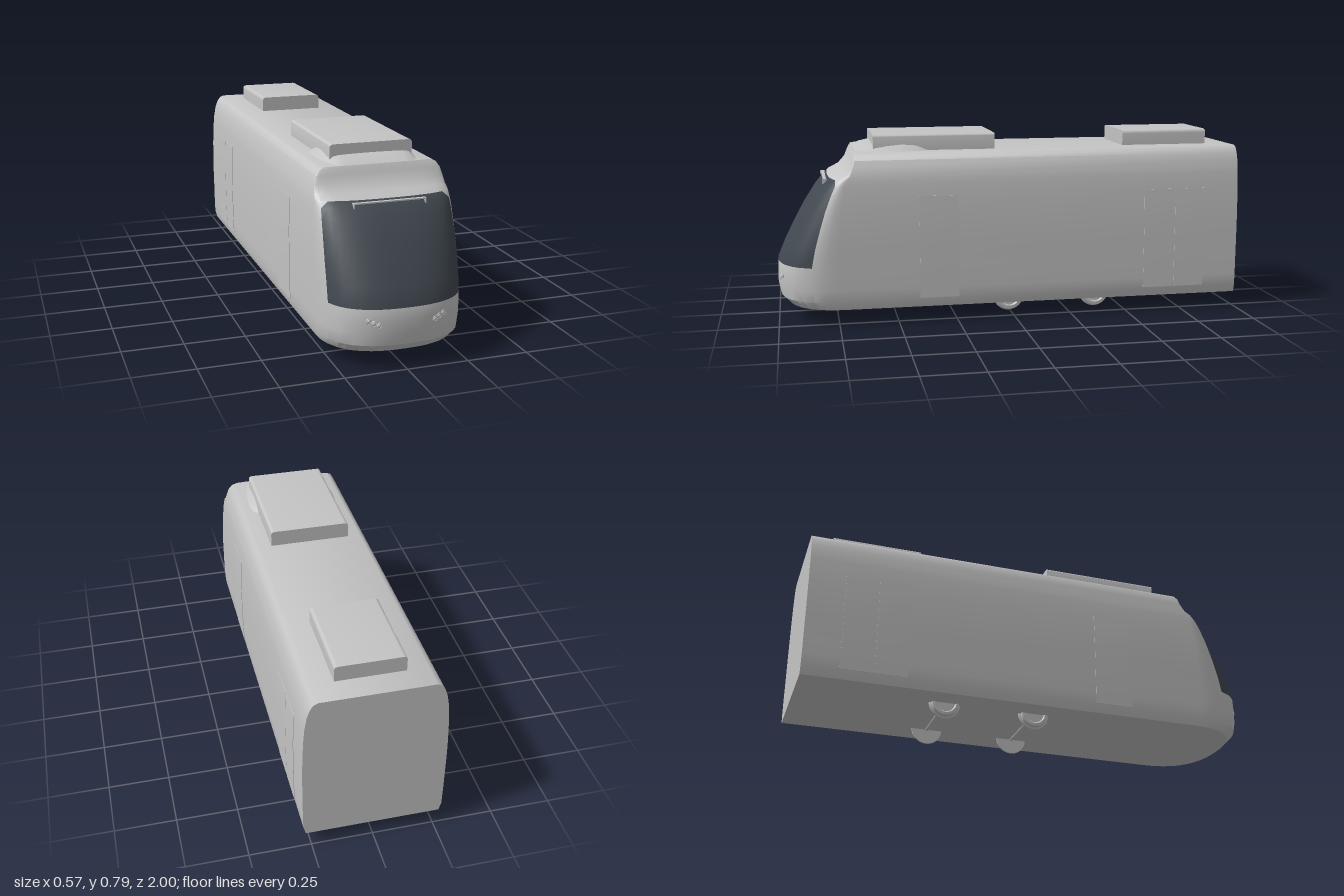
import * as THREE from 'three';
import { toCreasedNormals } from 'three/addons/utils/BufferGeometryUtils.js';

// Horizontal body sections: height, half width, nose z, depth of the nose curve
const ROWS = [
  [0.065, 0.272, 0.955, 0.25], [0.1, 0.282, 0.99, 0.25], [0.15, 0.283, 1, 0.25],
  [0.2, 0.284, 1, 0.25], [0.247, 0.284, 0.998, 0.25], [0.32, 0.285, 0.967, 0.22],
  [0.4, 0.285, 0.926, 0.185], [0.48, 0.283, 0.882, 0.15], [0.55, 0.28, 0.836, 0.115],
  [0.585, 0.277, 0.806, 0.09], [0.61, 0.275, 0.78, 0.075], [0.628, 0.272, 0.735, 0.045],
  [0.66, 0.266, 0.7, 0.02], [0.69, 0.256, 0.685, 0.01], [0.71, 0.243, 0.676, 0.01],
  [0.72, 0.225, 0.67, 0.01],
];
const GLASS_BOTTOM = 4, GLASS_TOP = 10, GLASS_EDGE = 0.945;
const HALF = [1, 0.995, 0.98, GLASS_EDGE, 0.85, 0.78, 0.7, 0.58, 0.45, 0.3, 0.15];
const COLS = [...HALF, 0, ...HALF.map((s) => -s).reverse()];

// Section values at any height
function rowAt(y) {
  let i = 0;
  while (i < ROWS.length - 2 && ROWS[i + 1][0] < y) i++;
  const t = (y - ROWS[i][0]) / (ROWS[i + 1][0] - ROWS[i][0]);
  return ROWS[i].map((v, k) => v + (ROWS[i + 1][k] - v) * t);
}

// Point on the rounded nose; s runs from -1 to 1 across the width
function nosePoint([y, w, zf, d], s) {
  return [w * s, y, zf - d + d * Math.pow(Math.max(0, 1 - Math.pow(Math.abs(s), 2.5)), 0.4)];
}

function quad(out, p, q, r, s) {
  out.push(...p, ...q, ...r, ...p, ...r, ...s);
}

function geometryFrom(points, crease) {
  const geo = new THREE.BufferGeometry();
  geo.setAttribute('position', new THREE.Float32BufferAttribute(points, 3));
  return toCreasedNormals(geo, crease);
}

function shellGeometry() {
  const body = [], glass = [];
  const grid = ROWS.map((r) => [
    [r[1], r[0], -1], ...COLS.map((s) => nosePoint(r, s)), [-r[1], r[0], -1],
  ]);
  const n = grid[0].length - 1, top = ROWS.length - 1;
  const edge = 1 + HALF.indexOf(GLASS_EDGE);
  for (let i = 0; i < top; i++) {
    for (let j = 0; j < n; j++) {
      const a = grid[i][j], b = grid[i][j + 1], c = grid[i + 1][j + 1], d = grid[i + 1][j];
      const isGlass = i >= GLASS_BOTTOM && i < GLASS_TOP && j >= edge && j < n - edge;
      // Cut the upper corners of the windscreen diagonally
      if (isGlass && i === GLASS_TOP - 1 && j === edge) {
        glass.push(...b, ...a, ...c);
        body.push(...a, ...d, ...c);
      } else if (isGlass && i === GLASS_TOP - 1 && j === n - edge - 1) {
        glass.push(...b, ...a, ...d);
        body.push(...b, ...d, ...c);
      } else quad(isGlass ? glass : body, b, a, d, c);
    }
    // Flat rear wall
    quad(body, grid[i][0], grid[i][n], grid[i + 1][n], grid[i + 1][0]);
  }
  // Roof and floor
  for (let j = 0; j < (n - 1) / 2; j++) {
    const t = grid[top], f = grid[0];
    quad(body, t[j], t[n - j], t[n - j - 1], t[j + 1]);
    quad(body, f[j + 1], f[n - j - 1], f[n - j], f[j]);
  }
  const geo = geometryFrom([...body, ...glass], 0.55);
  geo.addGroup(0, body.length / 3, 0);
  geo.addGroup(body.length / 3, glass.length / 3, 1);
  return geo;
}

// Low streamlined hump: z, half width, height
function fairingGeometry() {
  const sections = [
    [0.35, 0.165, 0], [0.37, 0.19, 0.015], [0.41, 0.203, 0.03], [0.47, 0.203, 0.036],
    [0.53, 0.198, 0.034], [0.58, 0.19, 0.03], [0.63, 0.178, 0.02], [0.67, 0.165, 0],
  ];
  const arch = [[1, 0], [0.93, 0.35], [0.84, 0.8], [0.7, 0.95], [0.35, 1], [0, 1.02]];
  const full = [...arch, ...arch.slice(0, -1).reverse().map(([x, y]) => [-x, y])];
  const g = sections.map(([z, w, h]) => full.map(([x, y]) => [x * w, 0.718 + y * h, z]));
  const pts = [];
  for (let i = 0; i < g.length - 1; i++)
    for (let j = 0; j < full.length - 1; j++)
      quad(pts, g[i][j], g[i][j + 1], g[i + 1][j + 1], g[i + 1][j]);
  return geometryFrom(pts, 0.8);
}

// Roof equipment box with rounded upper edges
function roofBoxGeometry(w, z0, z1, top) {
  const r = 0.015, s = new THREE.Shape();
  s.moveTo(-w, 0.715);
  s.lineTo(w, 0.715);
  s.lineTo(w, top - r);
  s.quadraticCurveTo(w, top, w - r, top);
  s.lineTo(-w + r, top);
  s.quadraticCurveTo(-w, top, -w, top - r);
  const geo = new THREE.ExtrudeGeometry(s, { depth: z1 - z0, bevelEnabled: false, curveSegments: 5 });
  geo.translate(0, 0, z0);
  return toCreasedNormals(geo, 0.6);
}

// Thin door leaf that follows the curve of the side wall
function doorGeometry(side, z0, z1) {
  const ys = [0.105, 0.15, 0.2, 0.3, 0.4, 0.48, 0.54];
  const outer = ys.map((y) => new THREE.Vector2(side * (rowAt(y)[1] + 0.002), y));
  const inner = ys.map((y) => new THREE.Vector2(side * (rowAt(y)[1] - 0.004), y)).reverse();
  const geo = new THREE.ExtrudeGeometry(new THREE.Shape([...outer, ...inner]),
    { depth: z1 - z0, bevelEnabled: false });
  geo.translate(0, 0, z0);
  return toCreasedNormals(geo, 0.5);
}

export function createModel() {
  const model = new THREE.Group();
  const paint = new THREE.MeshStandardMaterial({ color: 0xc4c4c4 });
  paint.name = 'light grey paint';
  const glass = new THREE.MeshStandardMaterial({ color: 0x414850 });
  glass.name = 'dark windscreen glass';

  const add = (name, geo, material = paint, parent = model) => {
    const mesh = new THREE.Mesh(geo, material);
    mesh.name = name;
    parent.add(mesh);
    return mesh;
  };

  add('bodyShellAndWindscreen', shellGeometry(), [paint, glass]);
  add('roofFairing', fairingGeometry());
  add('frontRoofBox', roofBoxGeometry(0.172, 0.07, 0.59, 0.788));
  add('rearRoofBox', roofBoxGeometry(0.14, -0.895, -0.51, 0.785));

  // Bracket above the windscreen
  const bracket = new THREE.Group();
  bracket.name = 'windscreenBracket';
  model.add(bracket);
  add('bracketBar', new THREE.BoxGeometry(0.294, 0.005, 0.014), paint, bracket).position.set(0, 0.602, 0.794);
  for (const side of [-1, 1])
    add('bracketEnd', new THREE.BoxGeometry(0.004, 0.02, 0.022), paint, bracket)
      .position.set(side * 0.145, 0.594, 0.793);

  // Doors and headlights on both sides
  for (const side of [-1, 1]) {
    add('frontDoor', doorGeometry(side, 0.245, 0.41));
    add('rearDoorLeaf', doorGeometry(side, -0.708, -0.572));
    add('rearDoorLeaf', doorGeometry(side, -0.848, -0.712));
    for (const [x, y] of [[0.15, 0.201], [0.131, 0.193], [0.113, 0.185]]) {
      const row = rowAt(y);
      const lamp = new THREE.Group();
      lamp.name = 'headlight';
      lamp.position.set(side * x, y, nosePoint(row, x / row[1])[2]);
      lamp.rotation.y = side * 0.25;
      add('lampRing', new THREE.TorusGeometry(0.01, 0.0025, 8, 20), paint, lamp);
      const lens = add('lampLens', new THREE.SphereGeometry(0.008, 14, 10), paint, lamp);
      lens.scale.z = 0.5;
      model.add(lamp);
    }
  }

  // Flanged wheels and axles; profile runs from the inner to the outer face
  const profile = [[0, -0.014], [0.066, -0.014], [0.068, -0.011], [0.066, -0.007],
    [0.059, -0.004], [0.057, 0.012], [0.045, 0.013], [0.04, 0.008], [0, 0.008]];
  const wheelGeo = toCreasedNormals(
    new THREE.LatheGeometry(profile.map(([r, h]) => new THREE.Vector2(r, h)), 32), 0.6);
  for (const z of [0.005, -0.385]) {
    for (const side of [-1, 1]) {
      const wheel = add('wheel', wheelGeo);
      wheel.position.set(side * 0.165, 0.068, z);
      wheel.rotation.z = -side * Math.PI / 2;
    }
    const axle = add('axle', new THREE.CylinderGeometry(0.008, 0.008, 0.32, 12));
    axle.position.set(0, 0.066, z);
    axle.rotation.z = Math.PI / 2;
  }
  return model;
}
